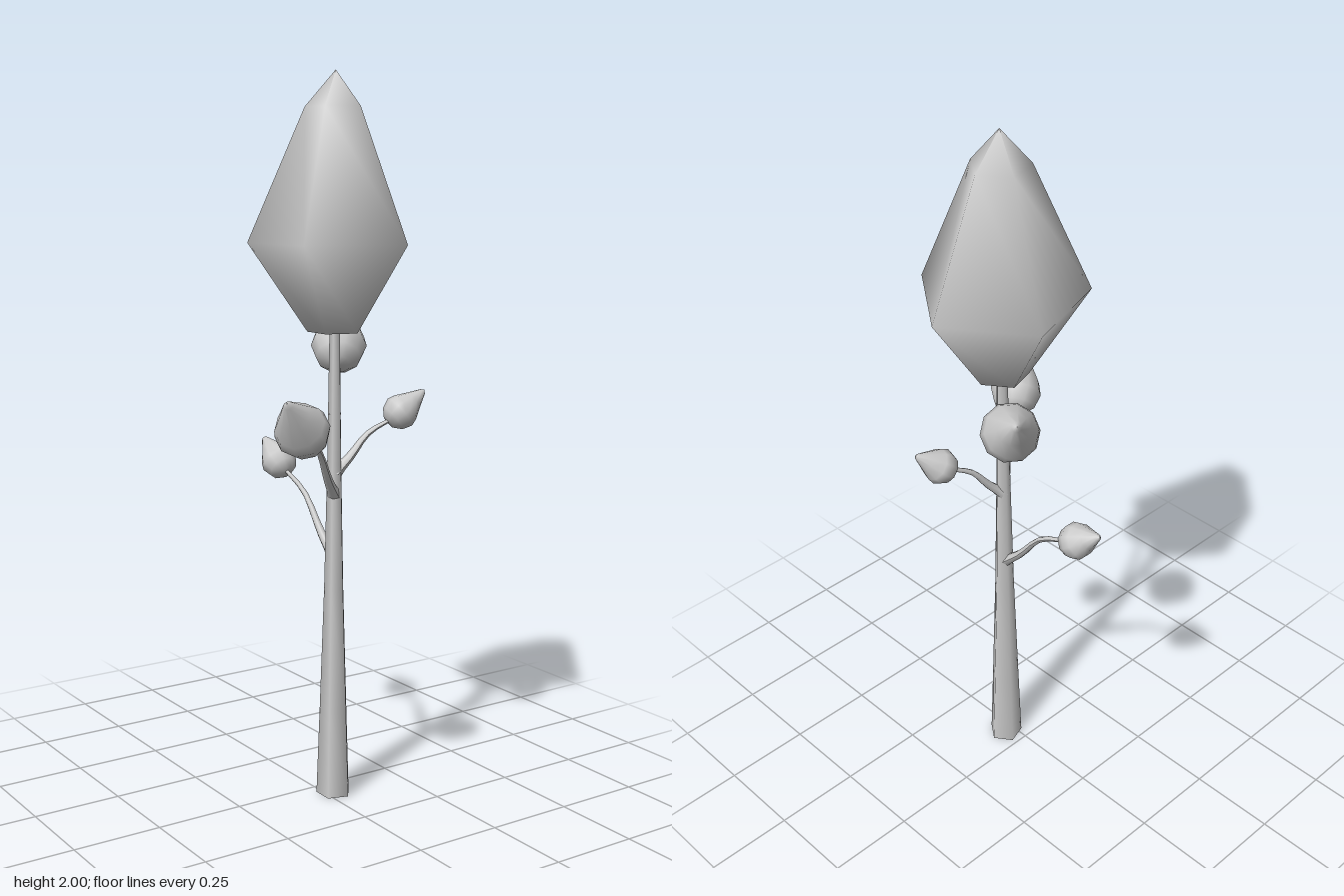
import * as THREE from 'three';

const AXIS_X = 0.026, AXIS_Z = 0.062;
const material = new THREE.MeshStandardMaterial({ color: 0xcccccc });

function addMesh(parent, name, geometry) {
  const mesh = new THREE.Mesh(geometry, material);
  mesh.name = name;
  parent.add(mesh);
  return mesh;
}

// Profile of [radius, height] pairs turned around y, one corner facing +x
function lathe(profile, sides) {
  const points = profile.map(([r, y]) => new THREE.Vector2(r, y));
  return new THREE.LatheGeometry(points, sides, Math.PI / 2);
}

// Tube whose rings shrink from r0 to r1 along the curve
function taperedTube(curve, r0, r1, segments = 8, sides = 6) {
  const geometry = new THREE.TubeGeometry(curve, segments, 1, sides);
  const pos = geometry.attributes.position;
  const p = new THREE.Vector3();
  for (let i = 0; i < pos.count; i++) {
    const t = Math.floor(i / (sides + 1)) / segments;
    const centre = curve.getPointAt(t);
    p.fromBufferAttribute(pos, i).sub(centre);
    p.multiplyScalar(THREE.MathUtils.lerp(r0, r1, Math.sqrt(t))).add(centre);
    pos.setXYZ(i, p.x, p.y, p.z);
  }
  geometry.computeVertexNormals();
  return geometry;
}

// Teardrop profile: [share of the radius, share of the length]
const BUD = [[0, 0], [0.42, 0.02], [0.8, 0.13], [1, 0.32], [0.9, 0.46], [0.55, 0.69], [0.17, 0.95], [0, 1]];

// startY: height on the trunk, base and tip: ends of the leaf cluster
const BRANCHES = [
  { name: 'backBranch', startY: 0.69, base: [0.026, 0.885, -0.183], tip: [0.026, 0.972, -0.308], radius: 0.052 },
  { name: 'frontRightBranch', startY: 0.87, base: [-0.15, 1.042, 0.203], tip: [-0.285, 1.172, 0.306], radius: 0.074 },
  { name: 'backLeftBranch', startY: 1.09, base: [0.106, 1.205, -0.04], tip: [0.22, 1.358, -0.196], radius: 0.079 },
  { name: 'leftBranch', startY: 0.935, base: [0.178, 1.055, 0.099], tip: [0.283, 1.142, 0.126], radius: 0.05 },
];

function createBranch({ name, startY, base, tip, radius }) {
  const group = new THREE.Group();
  group.name = name;
  const start = new THREE.Vector3(AXIS_X, startY - 0.01, AXIS_Z);
  const end = new THREE.Vector3(...base);
  const top = new THREE.Vector3(...tip);
  const axis = top.clone().sub(end);
  const length = axis.length();
  axis.normalize();

  // Stem leaves the trunk steeply and flattens towards the leaves
  const between = (out, up) => new THREE.Vector3(
    THREE.MathUtils.lerp(start.x, end.x, out),
    THREE.MathUtils.lerp(start.y, end.y, up),
    THREE.MathUtils.lerp(start.z, end.z, out));
  const inside = end.clone().addScaledVector(axis, 0.02);
  const curve = new THREE.CatmullRomCurve3([start, between(0.28, 0.32), between(0.62, 0.8), inside]);
  addMesh(group, 'stem', taperedTube(curve, 0.02, 0.005));

  // Teardrop leaf cluster along the end of the stem
  const bud = addMesh(group, 'leafCluster', lathe(BUD.map(([r, t]) => [r * radius, t * length]), 10));
  bud.position.copy(end);
  bud.quaternion.setFromUnitVectors(new THREE.Vector3(0, 1, 0), axis);
  return group;
}

export function createModel() {
  const model = new THREE.Group();
  model.name = 'tree';

  // Five-sided trunk, slightly flared at the foot, with a flat underside
  const trunk = addMesh(model, 'trunk',
    lathe([[0.05, 0], [0.041, 0.25], [0.029, 0.6], [0.021, 0.95], [0.015, 1.34]], 5));
  trunk.position.set(AXIS_X, 0, AXIS_Z);
  const foot = addMesh(model, 'trunkFoot', new THREE.CircleGeometry(0.05, 5));
  foot.rotation.x = Math.PI / 2;
  foot.position.set(AXIS_X, 0, AXIS_Z);

  // Five-sided crown
  const crown = addMesh(model, 'crown',
    lathe([[0, 1.308], [0.075, 1.312], [0.236, 1.55], [0.082, 1.905], [0, 2]], 5));
  crown.position.set(AXIS_X, 0, AXIS_Z);

  for (const branch of BRANCHES) model.add(createBranch(branch));
  return model;
}
